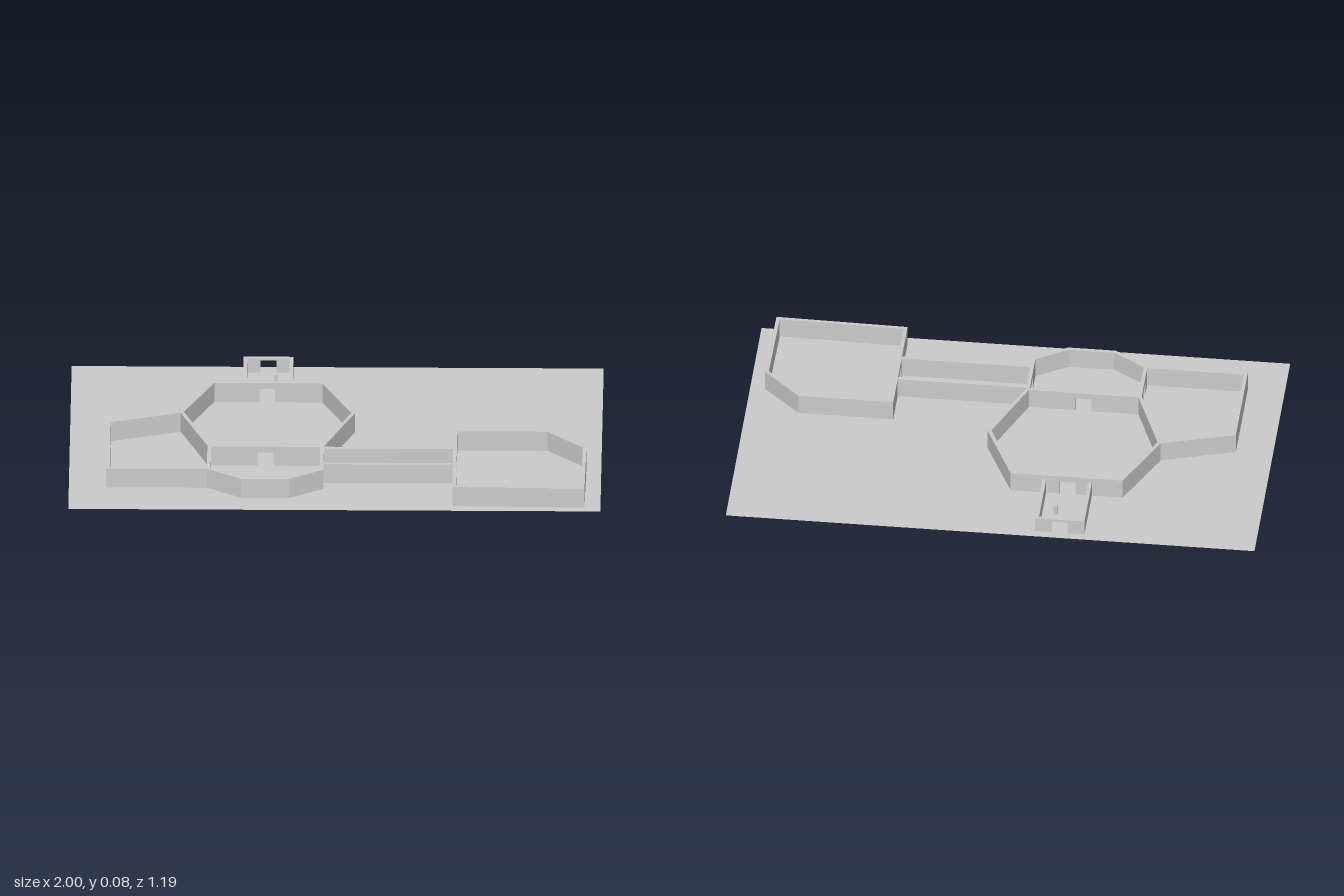
import * as THREE from 'three';

const T = 0.014; // wall thickness
const H = 0.08; // main wall height
const DOOR_W = 0.06;
const DOOR_H = 0.055;

export function createModel() {
  const model = new THREE.Group();
  const mat = new THREE.MeshStandardMaterial({ color: 0xcccccc, flatShading: true });
  const floorMat = new THREE.MeshStandardMaterial({ color: 0xcccccc, side: THREE.DoubleSide });

  // Ground sheet
  const floor = new THREE.Mesh(new THREE.PlaneGeometry(2, 1.19).rotateX(-Math.PI / 2), floorMat);
  floor.name = 'floor';
  model.add(floor);

  // Offset of the wall face at point i of a centreline, mitred at corners
  function mitre(pts, i, closed) {
    const n = pts.length;
    const normal = (a, b) => new THREE.Vector2(a.y - b.y, b.x - a.x).normalize();
    const prev = i > 0 || closed ? normal(pts[(i + n - 1) % n], pts[i]) : null;
    const next = i < n - 1 || closed ? normal(pts[i], pts[(i + 1) % n]) : null;
    if (!prev || !next) return (prev || next).multiplyScalar(T / 2);
    const m = prev.clone().add(next).normalize();
    return m.multiplyScalar(T / 2 / m.dot(prev));
  }

  // Box remapped onto a quad footprint: start and end cross-sections [left, right]
  function block(start, end, y0, y1) {
    const geo = new THREE.BoxGeometry(1, 1, 1);
    const pos = geo.attributes.position;
    for (let i = 0; i < pos.count; i++) {
      const section = pos.getX(i) < 0 ? start : end;
      const p = section[pos.getZ(i) < 0 ? 0 : 1];
      pos.setXYZ(i, p.x, pos.getY(i) < 0 ? y0 : y1, p.y);
    }
    geo.computeVertexNormals();
    return new THREE.Mesh(geo, mat);
  }

  // Run of walls along a centreline; doors maps edge index to fraction along that edge
  function walls(name, path, { closed = false, doors = {}, height = H } = {}) {
    const group = new THREE.Group();
    group.name = name;
    const pts = path.map(([x, z]) => new THREE.Vector2(x, z));
    const edges = closed ? pts.length : pts.length - 1;
    for (let i = 0; i < edges; i++) {
      const j = (i + 1) % pts.length;
      const a = pts[i], b = pts[j];
      const section = (p, off) => [p.clone().sub(off), p.clone().add(off)];
      const start = section(a, mitre(pts, i, closed));
      const end = section(b, mitre(pts, j, closed));
      if (doors[i] === undefined) {
        group.add(block(start, end, 0, height));
        continue;
      }
      const dir = b.clone().sub(a);
      const half = DOOR_W / 2 / dir.length();
      const across = new THREE.Vector2(-dir.y, dir.x).normalize().multiplyScalar(T / 2);
      const jamb = (f) => section(a.clone().lerp(b, f), across);
      const j0 = jamb(doors[i] - half), j1 = jamb(doors[i] + half);
      const doorH = Math.min(DOOR_H, height - 0.01);
      group.add(block(start, j0, 0, height), block(j1, end, 0, height));
      group.add(block(j0, j1, doorH, height));
    }
    model.add(group);
  }

  // Six-sided hall with doors at the back and front
  walls('hexagonHall', [
    [-0.465, -0.309], [-0.05, -0.309], [0.064, -0.057],
    [-0.05, 0.22], [-0.474, 0.22], [-0.58, -0.06],
  ], { closed: true, doors: { 0: 0.49, 3: 0.5 } });

  // Room on the right side of the hall
  walls('sideRoom', [[-0.58, -0.06], [-0.853, 0.024], [-0.853, 0.407], [-0.474, 0.407]]);

  // Bay-shaped front room
  walls('bayRoom', [
    [-0.474, 0.22], [-0.474, 0.41], [-0.349, 0.489], [-0.174, 0.489], [-0.05, 0.413], [-0.05, 0.22],
  ], { doors: { 0: 0.5, 4: 0.6 } });

  // Corridor to the far room
  for (const z of [0.232, 0.363]) walls('corridorWall', [[-0.05, z], [0.45, z]]);

  // Far room with one cut corner
  walls('farRoom', [
    [0.45, 0.085], [0.798, 0.085], [0.937, 0.218], [0.933, 0.557], [0.45, 0.549],
  ], { closed: true, doors: { 4: 0.54 } });

  // Low entrance room at the back, with a small post inside
  walls('entranceRoom', [[-0.346, -0.309], [-0.346, -0.555], [-0.173, -0.555], [-0.173, -0.309]],
    { doors: { 1: 0.5 }, height: 0.06 });
  const post = new THREE.Mesh(new THREE.BoxGeometry(0.014, 0.045, 0.014), mat);
  post.name = 'post';
  post.position.set(-0.23, 0.0225, -0.445);
  model.add(post);

  return model;
}
